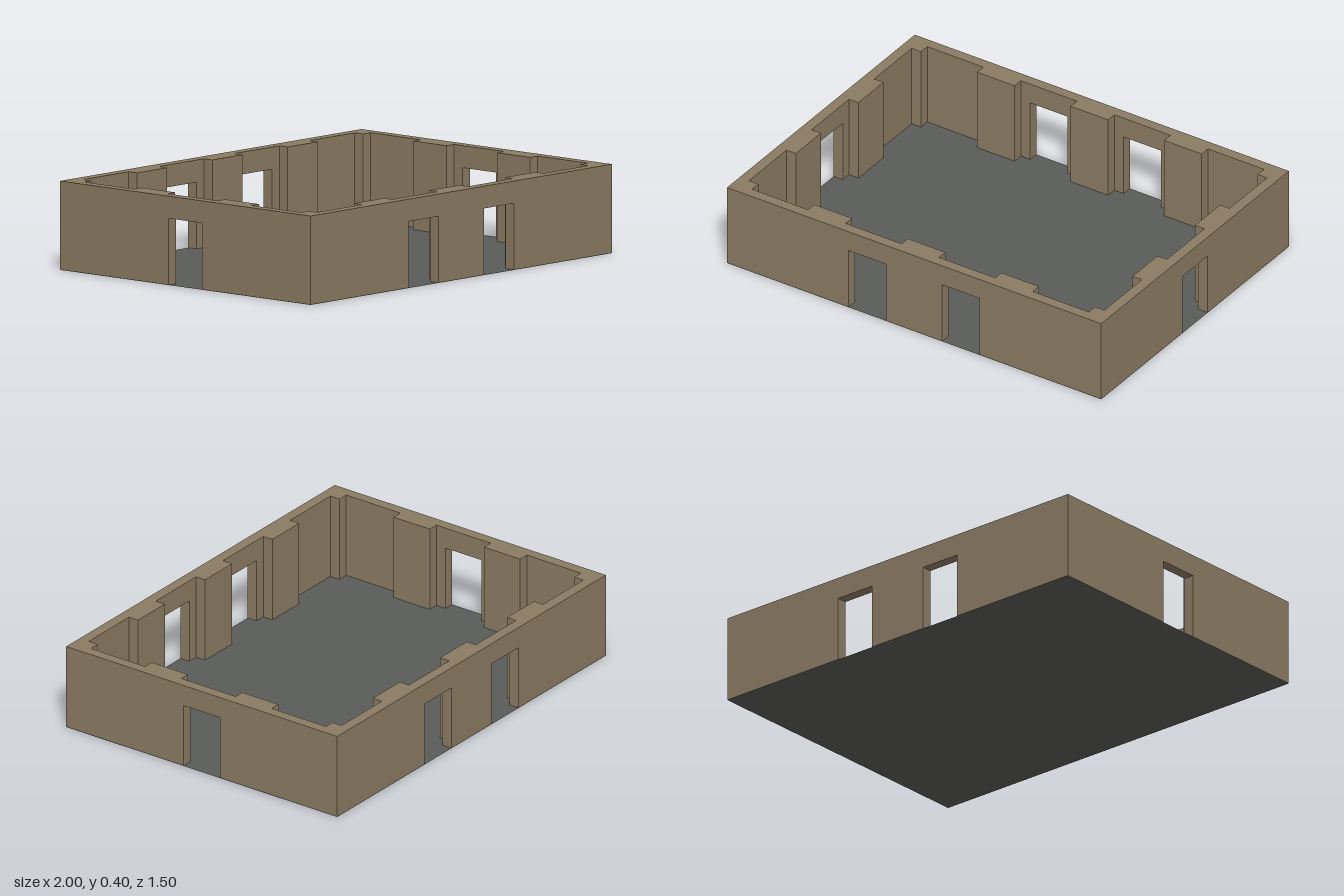
import * as THREE from 'three';

const W = 2, D = 1.5, H = 0.4, T = 0.05;
const DOOR_W = 0.2, DOOR_H = 0.3, BASE = 0.001;

export function createModel() {
  const group = new THREE.Group();
  const stone = new THREE.MeshStandardMaterial({ name: 'tanStone', color: 0x8b7b63 });
  const slate = new THREE.MeshStandardMaterial({ name: 'greyFloor', color: 0x5a5c58, side: THREE.DoubleSide });

  // Wall elevation with doorways notched up from the ground, outer face at z = 0
  function wallGeometry(length, doors) {
    const s = new THREE.Shape();
    s.moveTo(-length / 2, BASE);
    for (const c of doors) {
      s.lineTo(c - DOOR_W / 2, BASE);
      s.lineTo(c - DOOR_W / 2, DOOR_H);
      s.lineTo(c + DOOR_W / 2, DOOR_H);
      s.lineTo(c + DOOR_W / 2, BASE);
    }
    s.lineTo(length / 2, BASE);
    s.lineTo(length / 2, H);
    s.lineTo(-length / 2, H);
    s.closePath();
    return new THREE.ExtrudeGeometry(s, { depth: T, bevelEnabled: false }).translate(0, 0, -T);
  }

  function add(name, geometry, material, x = 0, y = 0, z = 0, turn = 0) {
    const mesh = new THREE.Mesh(geometry, material);
    mesh.name = name;
    mesh.position.set(x, y, z);
    mesh.rotation.y = turn;
    group.add(mesh);
  }

  function pilaster(name, w, d, x, z) {
    add(name, new THREE.BoxGeometry(w, H - BASE, d), stone, x, (H + BASE) / 2, z);
  }

  // Thin floor under the whole building
  add('floor', new THREE.PlaneGeometry(W, D).rotateX(-Math.PI / 2), slate);

  // Outer walls: two doorways in each long wall, one in each short wall
  const longWall = wallGeometry(W, [-0.25, 0.25]);
  const shortWall = wallGeometry(D - 2 * T, [0]);
  add('frontWall', longWall, stone, 0, 0, D / 2, 0);
  add('backWall', longWall, stone, 0, 0, -D / 2, Math.PI);
  add('leftWall', shortWall, stone, W / 2, 0, 0, Math.PI / 2);
  add('rightWall', shortWall, stone, -W / 2, 0, 0, -Math.PI / 2);

  // Inner pilasters along the walls and in the corners
  const px = W / 2 - 1.5 * T, pz = D / 2 - 1.5 * T;
  for (const side of [-1, 1]) {
    for (const x of [-0.5, 0, 0.5]) pilaster('longWallPilaster', 0.2, T, x, side * pz);
    for (const z of [-0.25, 0.25]) pilaster('shortWallPilaster', T, 0.2, side * px, z);
    for (const end of [-1, 1]) pilaster('cornerPilaster', T, T, side * px, end * pz);
  }
  return group;
}
